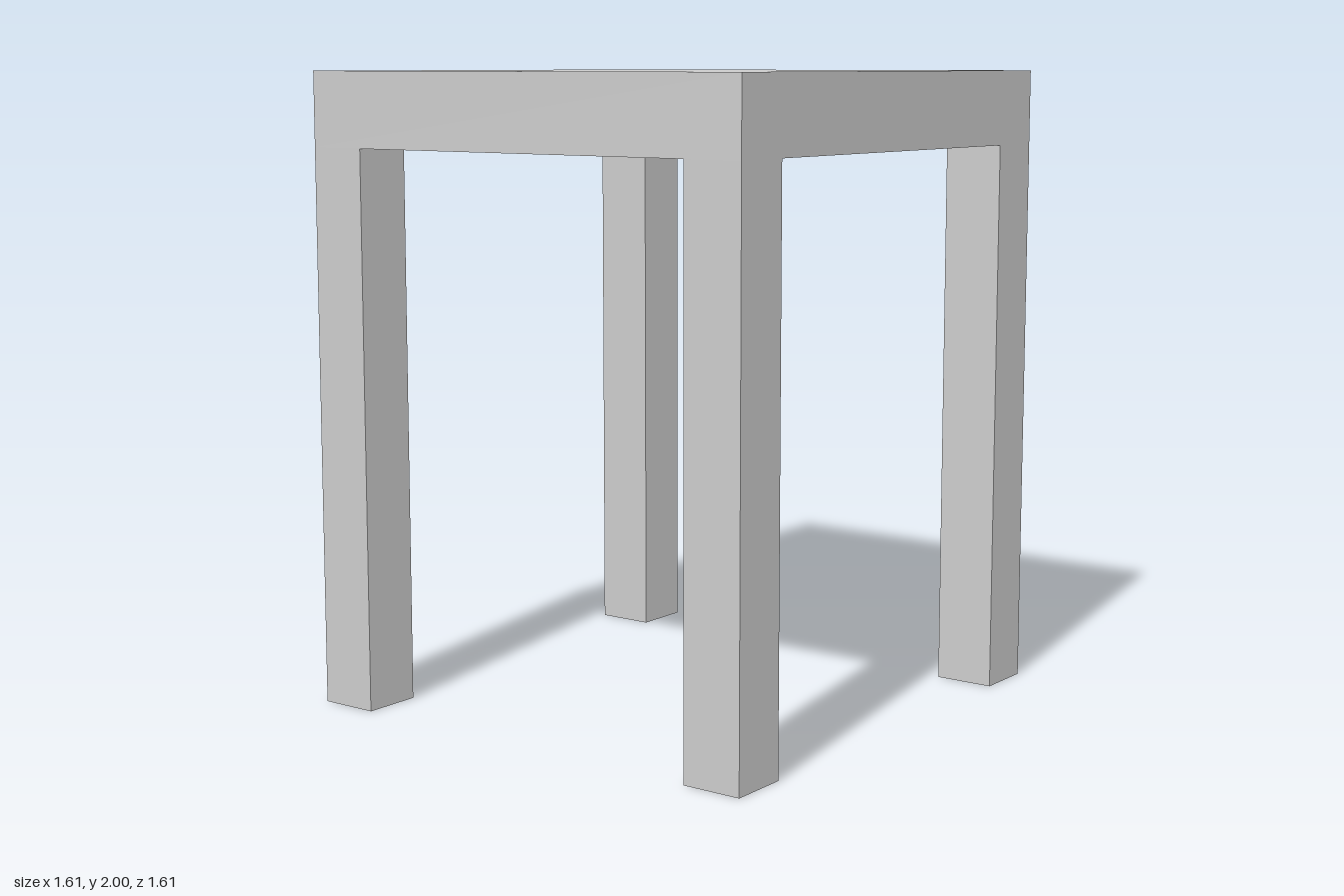
import * as THREE from 'three';

const WIDTH = 1.614;      // square top, side length
const HEIGHT = 2;
const TOP = 0.235;        // slab thickness
const LEG = 0.193;        // square leg, side length

export function createModel() {
  const table = new THREE.Group();
  table.name = 'table';
  const material = new THREE.MeshStandardMaterial({ color: 0xcccccc });

  // Thick square slab
  const top = new THREE.Mesh(new THREE.BoxGeometry(WIDTH, TOP, WIDTH), material);
  top.name = 'tableTop';
  top.position.y = HEIGHT - TOP / 2;
  table.add(top);

  // Four square legs, flush with the corners of the slab
  const legHeight = HEIGHT - TOP;
  const legGeometry = new THREE.BoxGeometry(LEG, legHeight, LEG);
  const offset = (WIDTH - LEG) / 2;
  for (const [zName, z] of [['front', 1], ['back', -1]]) {
    for (const [xName, x] of [['Left', 1], ['Right', -1]]) {
      const leg = new THREE.Mesh(legGeometry, material);
      leg.name = `${zName}${xName}Leg`;
      leg.position.set(x * offset, legHeight / 2, z * offset);
      table.add(leg);
    }
  }
  return table;
}
